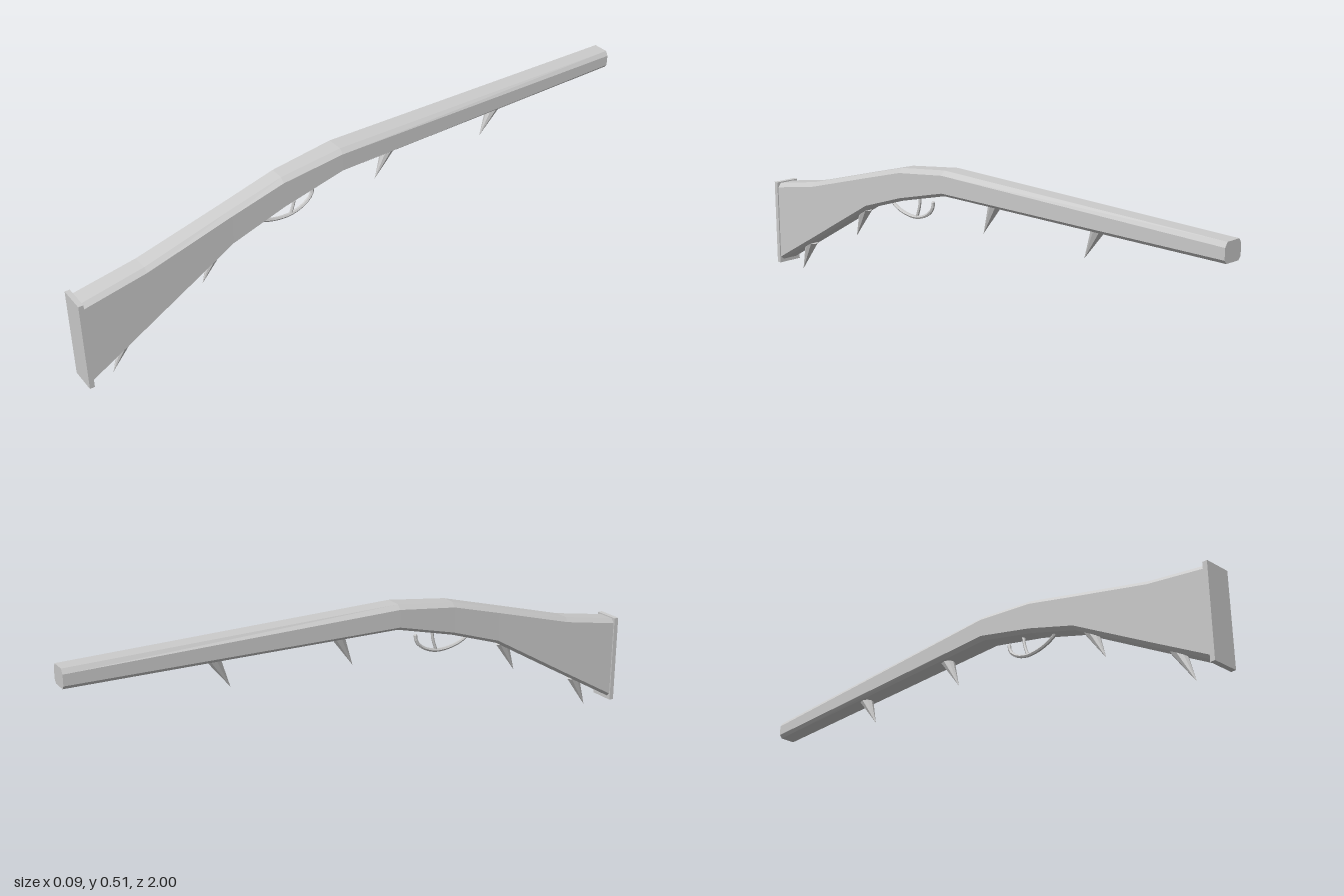
import * as THREE from 'three';

const steel = new THREE.MeshStandardMaterial({ color: 0xcccccc, flatShading: true });
steel.name = 'plain grey';

// Chamfered stations along the stock: z, bottom, top, half width, flat half width
const STATIONS = [
  [0.985, 0.028, 0.316, 0.040, 0.028],
  [0.78, 0.145, 0.354, 0.038, 0.026],
  [0.49, 0.312, 0.434, 0.036, 0.023],
  [0.31, 0.372, 0.483, 0.038, 0.024],
  [0.10, 0.426, 0.510, 0.042, 0.028],
  [-1.0, 0.441, 0.502, 0.035, 0.026],
];

// Eight corners, counter-clockwise seen from +z
function ring([z, lo, hi, w, f]) {
  const t = 0.015, b = 0.011;
  return [[f, lo], [w, lo + b], [w, hi - t], [f, hi], [-f, hi], [-w, hi - t], [-w, lo + b], [-f, lo]]
    .map(([x, y]) => [x, y, z]);
}

function loft(rings) {
  const pos = [];
  const tri = (a, b, c) => pos.push(...a, ...b, ...c);
  const n = rings[0].length;
  for (let s = 0; s < rings.length - 1; s++) {
    const A = rings[s], B = rings[s + 1];
    for (let i = 0; i < n; i++) {
      const j = (i + 1) % n;
      tri(A[i], B[i], B[j]);
      tri(A[i], B[j], A[j]);
    }
  }
  const first = rings[0], last = rings[rings.length - 1];
  for (let i = 1; i < n - 1; i++) {
    tri(first[0], first[i], first[i + 1]);
    tri(last[0], last[i + 1], last[i]);
  }
  const geo = new THREE.BufferGeometry();
  geo.setAttribute('position', new THREE.Float32BufferAttribute(pos, 3));
  geo.computeVertexNormals();
  return geo;
}

export function createModel() {
  const model = new THREE.Group();
  model.name = 'rifle';
  const add = (name, geo) => {
    const mesh = new THREE.Mesh(geo, steel);
    mesh.name = name;
    model.add(mesh);
    return mesh;
  };

  // Stock and barrel in one faceted body
  add('stockAndBarrel', loft(STATIONS.map(ring)));

  // Butt plate
  add('buttPlate', new THREE.BoxGeometry(0.088, 0.303, 0.016)).position.set(0, 0.1685, 0.992);

  // Trigger guard: hoop below the wrist
  const hoop = new THREE.CatmullRomCurve3([
    [0.40, 0.358], [0.36, 0.334], [0.31, 0.321], [0.26, 0.321], [0.215, 0.338], [0.19, 0.362], [0.185, 0.384],
  ].map(([z, y]) => new THREE.Vector3(0, y, z)));
  add('triggerGuard', new THREE.TubeGeometry(hoop, 16, 0.006, 6));
  for (const [z, y] of [[0.40, 0.358], [0.185, 0.384]]) {
    add('guardEnd', new THREE.SphereGeometry(0.006, 6, 4)).position.set(0, y, z);
  }

  // Trigger
  const blade = new THREE.CatmullRomCurve3([
    new THREE.Vector3(0, 0.40, 0.248), new THREE.Vector3(0, 0.36, 0.253), new THREE.Vector3(0, 0.324, 0.265),
  ]);
  add('trigger', new THREE.TubeGeometry(blade, 6, 0.005, 6));

  // Spikes raked toward the butt: base z, base y, tip z, tip y
  const up = new THREE.Vector3(0, 1, 0);
  for (const [bz, by, tz, ty] of [
    [0.845, 0.122, 0.903, 0.003],
    [0.53, 0.305, 0.585, 0.193],
    [-0.105, 0.438, -0.05, 0.328],
    [-0.53, 0.442, -0.475, 0.338],
  ]) {
    const base = new THREE.Vector3(0, by, bz), tip = new THREE.Vector3(0, ty, tz);
    const axis = tip.clone().sub(base);
    const spike = add('spike', new THREE.ConeGeometry(0.023, axis.length(), 8));
    spike.position.copy(base).add(tip).multiplyScalar(0.5);
    spike.quaternion.setFromUnitVectors(up, axis.normalize());
  }
  return model;
}
